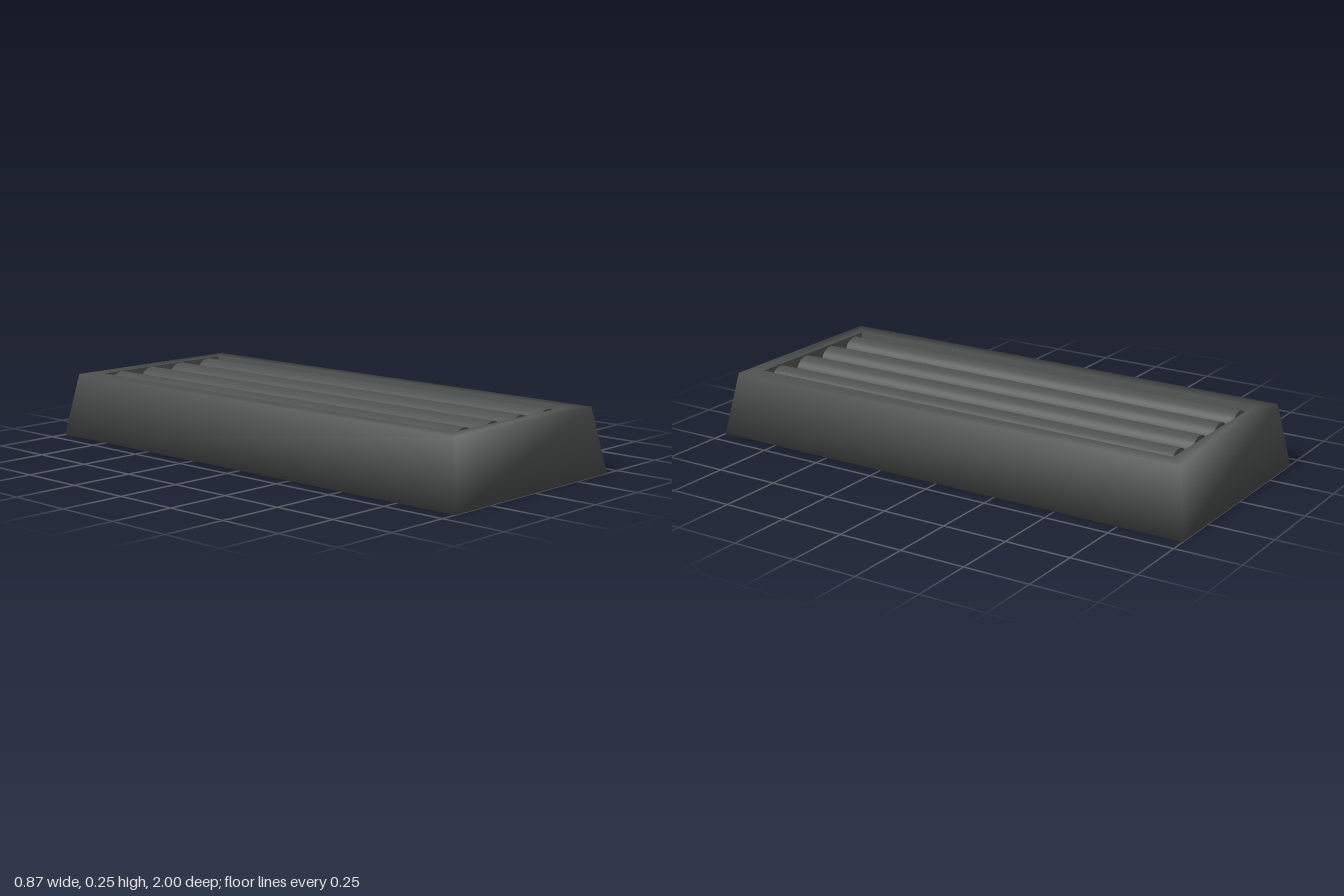
import * as THREE from 'three';

const charcoal = new THREE.MeshStandardMaterial({ color: 0x4c514f });
charcoal.name = 'charcoal';

// Stacked rectangular rings [halfX, y, halfZ], joined by quads and optionally capped
function ringGeometry(rings, capStart, capEnd) {
  const positions = [];
  const index = [];
  for (const [x, y, z] of rings) {
    positions.push(-x, y, z, x, y, z, x, y, -z, -x, y, -z);
  }
  for (let r = 0; r < rings.length - 1; r++) {
    for (let i = 0; i < 4; i++) {
      const a = r * 4 + i;
      const b = r * 4 + ((i + 1) % 4);
      index.push(a, b, b + 4, a, b + 4, a + 4);
    }
  }
  if (capStart) index.push(0, 2, 1, 0, 3, 2);
  const e = (rings.length - 1) * 4;
  if (capEnd) index.push(e, e + 1, e + 2, e, e + 2, e + 3);
  const geometry = new THREE.BufferGeometry();
  geometry.setAttribute('position', new THREE.Float32BufferAttribute(positions, 3));
  geometry.setIndex(index);
  return geometry;
}

export function createModel() {
  const model = new THREE.Group();
  model.name = 'ribbedBlock';

  const add = (name, geometry, parent = model) => {
    const mesh = new THREE.Mesh(geometry, charcoal);
    mesh.name = name;
    parent.add(mesh);
    return mesh;
  };

  const top = 0.245;
  const floor = 0.187;
  const rim = [0.315, top, 0.893];

  // Tapered body with soft shading over its edges, open at the recess
  const body = ringGeometry([[0.435, 0, 1], [0.391, top, 0.956], rim], true, false);
  body.computeVertexNormals();
  add('body', body);

  // Sunken tray with crisp walls
  const tray = ringGeometry([rim, [0.307, floor, 0.885]], false, true).toNonIndexed();
  tray.computeVertexNormals();
  add('recess', tray);

  // Four half-round ribs lying along the tray
  const ribs = new THREE.Group();
  ribs.name = 'ribs';
  model.add(ribs);
  const radius = 0.06;
  const rib = new THREE.CylinderGeometry(radius, radius, 1.75, 24, 1, false, -Math.PI / 2, Math.PI);
  rib.rotateX(-Math.PI / 2);
  for (let i = 0; i < 4; i++) {
    add('rib', rib, ribs).position.set((i - 1.5) * 0.158, floor, 0);
  }

  return model;
}
